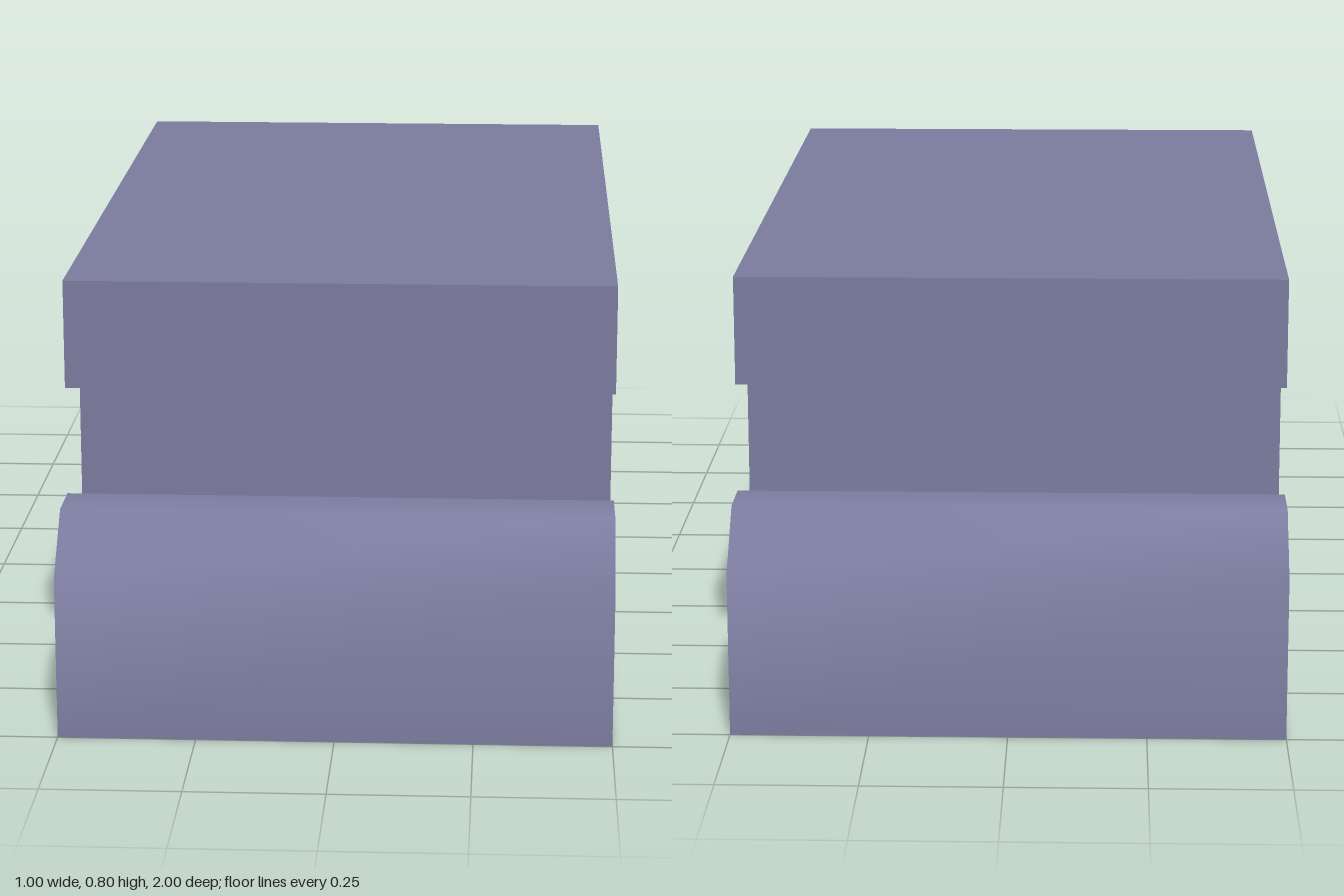
import * as THREE from 'three';
import { toCreasedNormals } from 'three/addons/utils/BufferGeometryUtils.js';

export function createModel() {
  const group = new THREE.Group();
  group.name = 'slottedRail';

  const slateViolet = new THREE.MeshStandardMaterial({ color: 0x7c7ca0 });
  slateViolet.name = 'slate violet';

  // Half of the end profile as (z, y): base, chamfered lip, side slot, top flange
  const half = [
    [1, 0], [1, 0.3], [0.9, 0.4], [0.8, 0.4], [0.8, 0.2],
    [0.6, 0.2], [0.6, 0.6], [0.8, 0.6], [0.8, 0.8],
  ];
  const mirrored = half.map(([z, y]) => [-z, y]).reverse();
  const profile = new THREE.Shape([...half, ...mirrored].map(([z, y]) => new THREE.Vector2(z, y)));

  // Extrude across the width, then turn the profile to run along z
  const width = 1;
  const geometry = new THREE.ExtrudeGeometry(profile, { depth: width, bevelEnabled: false });
  geometry.translate(0, 0, -width / 2);
  geometry.rotateY(-Math.PI / 2);

  // The 45 degree lip chamfers shade smoothly, square corners stay sharp
  const rail = new THREE.Mesh(toCreasedNormals(geometry, Math.PI / 3), slateViolet);
  rail.name = 'railBody';
  group.add(rail);
  return group;
}
